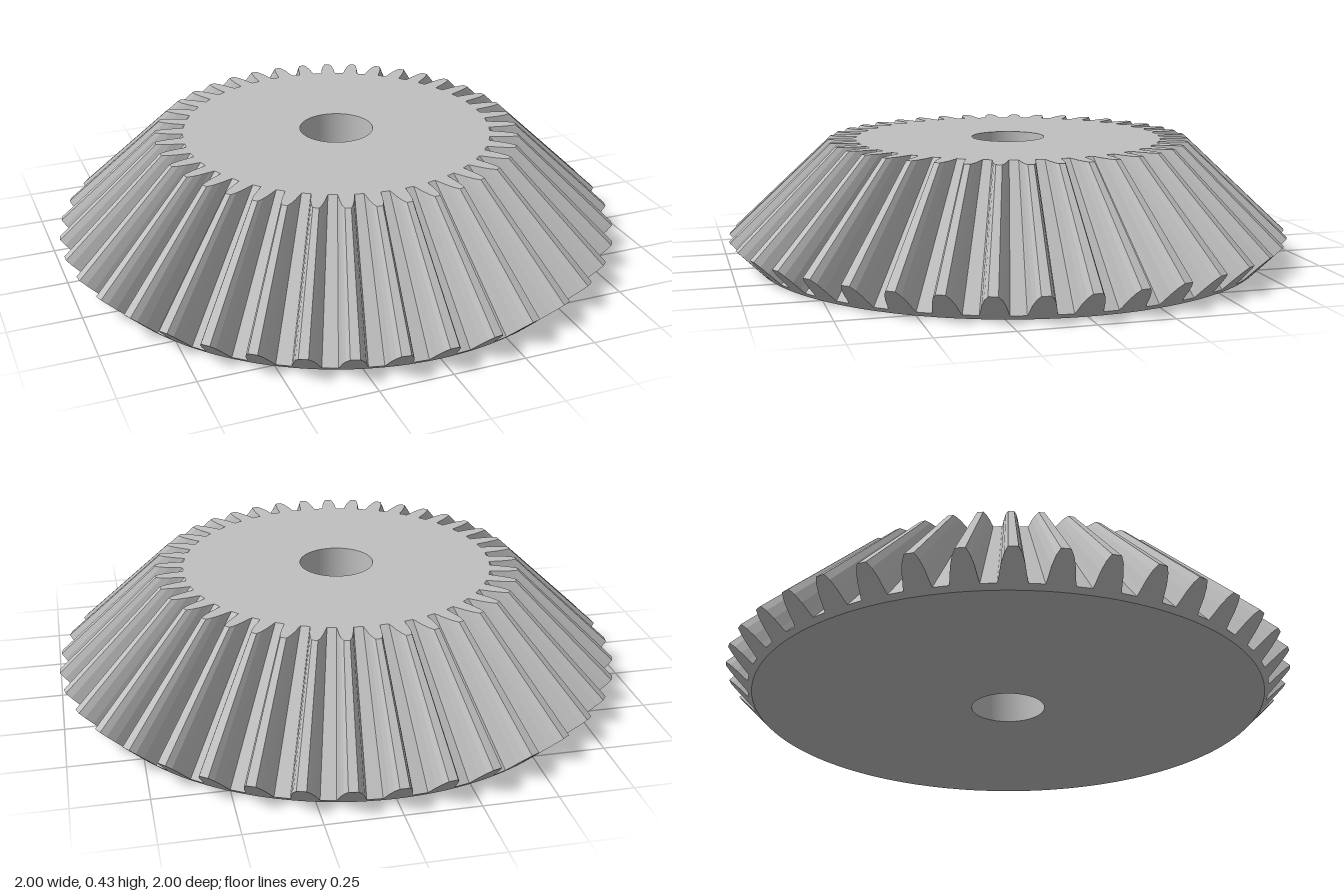
import * as THREE from 'three';

const TEETH = 40;
const APEX = 1.035;   // height where all tooth lines meet
const TOP = 0.43;
const BORE = 0.13;
const BACK = 0.905;   // radius of the flat underside

// Half tooth: [degrees from the tooth centre, height from root 0 to tip 1]
const HALF_TOOTH = [[0.9, 1], [1.6, 0.8], [2.2, 0.5], [2.6, 0.18], [2.9, 0]];
const TOOTH = [
  ...HALF_TOOTH.map(([a, s]) => [-a, s]).reverse(),
  [0, 1],
  ...HALF_TOOTH,
];

// Points around the whole gear: angle and height on the back cone
function gearOutline() {
  const points = [];
  for (let i = 0; i < TEETH; i++) {
    for (const [deg, s] of TOOTH) {
      points.push({ angle: THREE.MathUtils.degToRad(i * 360 / TEETH + deg), y: 0.016 + 0.08 * s });
    }
  }
  return points;
}

// Closed band of faces between two rings with matching angles
function band(upper, lower) {
  const pos = [];
  const n = upper.length;
  for (let i = 0; i < n; i++) {
    const j = (i + 1) % n;
    for (const p of [upper[i], lower[i], lower[j], upper[i], lower[j], upper[j]]) pos.push(p.x, p.y, p.z);
  }
  const geometry = new THREE.BufferGeometry();
  geometry.setAttribute('position', new THREE.Float32BufferAttribute(pos, 3));
  geometry.computeVertexNormals();
  return geometry;
}

export function createModel() {
  const group = new THREE.Group();
  group.name = 'bevelGear';
  const steel = new THREE.MeshStandardMaterial({ color: 0xc0c0c0 });
  steel.name = 'steelGrey';

  const outline = gearOutline();
  const ring = (radius, height) => outline.map((p) => {
    const r = radius(p);
    return new THREE.Vector3(r * Math.sin(p.angle), height(p), r * Math.cos(p.angle));
  });

  const boreTop = ring(() => BORE, () => TOP);
  const toothTop = ring((p) => (BACK + p.y) * (APEX - TOP) / (APEX - p.y), () => TOP);
  const toothBack = ring((p) => BACK + p.y, (p) => p.y);
  const baseRim = ring(() => BACK, () => 0);
  const boreBottom = ring(() => BORE, () => 0);

  const add = (name, upper, lower) => {
    const mesh = new THREE.Mesh(band(upper, lower), steel);
    mesh.name = name;
    group.add(mesh);
  };
  add('topFace', boreTop, toothTop);
  add('teeth', toothTop, toothBack);
  add('backCone', toothBack, baseRim);
  add('bottomFace', baseRim, boreBottom);
  add('bore', boreBottom, boreTop);
  return group;
}
